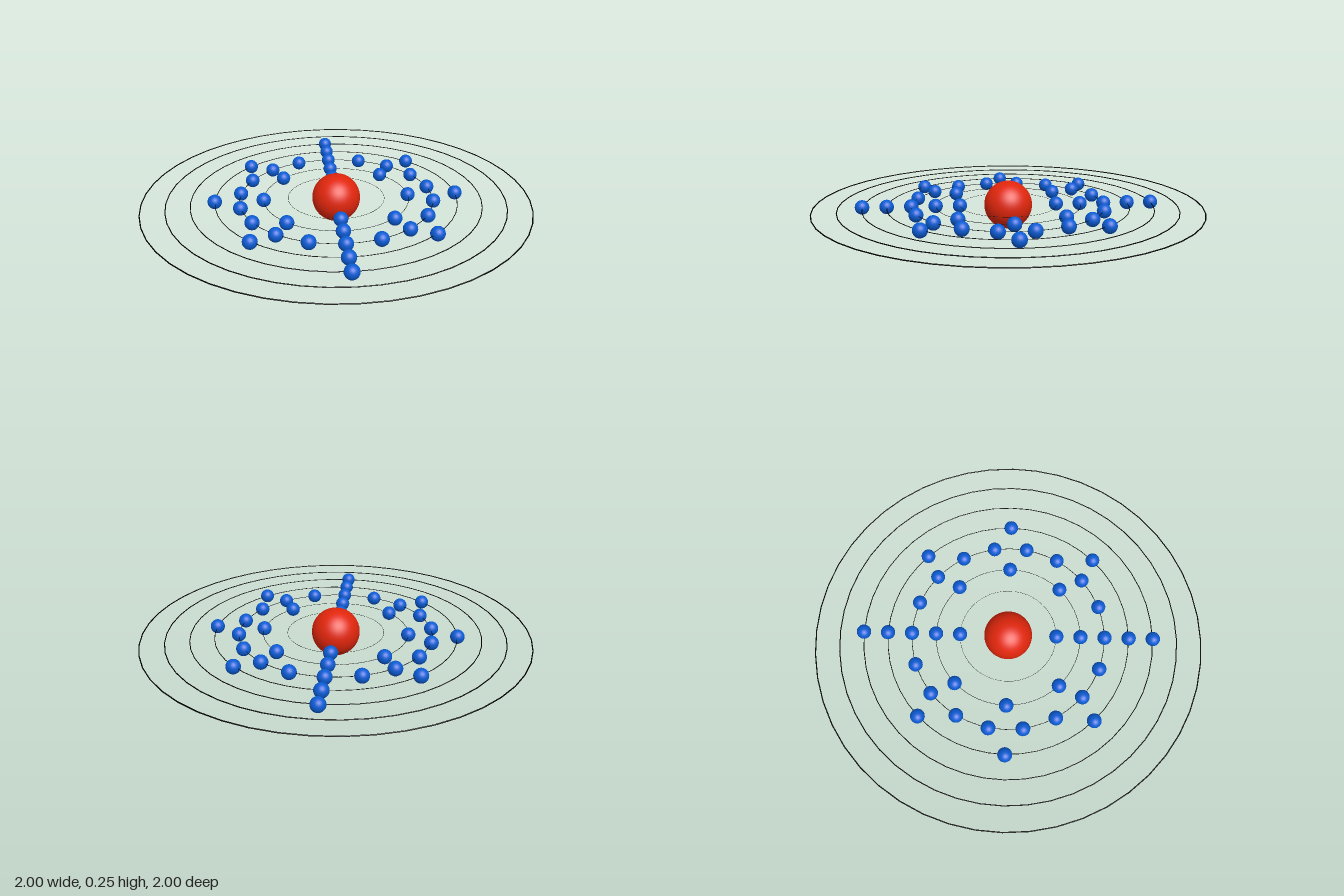
import * as THREE from 'three';

const CENTRE_Y = 0.126;
const NUCLEUS_RADIUS = 0.124;
const ELECTRON_RADIUS = 0.037;
// Electrons carried by each shell, from the innermost outwards
const SHELLS = [2, 8, 18, 8, 2, 0, 0];

export function createModel() {
  const group = new THREE.Group();
  group.name = 'atom';

  const red = new THREE.MeshStandardMaterial({ color: 0xe0260c });
  const blue = new THREE.MeshStandardMaterial({ color: 0x0b5bd3 });
  const black = new THREE.MeshStandardMaterial({ color: 0x000000 });

  const add = (parent, name, geometry, material) => {
    const mesh = new THREE.Mesh(geometry, material);
    mesh.name = name;
    parent.add(mesh);
    return mesh;
  };

  // Nucleus
  add(group, 'nucleus', new THREE.SphereGeometry(NUCLEUS_RADIUS, 48, 32), red).position.y = CENTRE_Y;

  const electronGeometry = new THREE.SphereGeometry(ELECTRON_RADIUS, 24, 16);

  // Flat, concentric shells: a thin orbit ring with evenly spaced electrons
  SHELLS.forEach((count, i) => {
    const radius = (i + 2) / 8;
    const shell = new THREE.Group();
    shell.name = `shell${i + 1}`;
    shell.position.y = CENTRE_Y;
    group.add(shell);

    const tube = 0.003 * radius;
    const ring = new THREE.TorusGeometry(radius - tube, tube, 8, 48).rotateX(Math.PI / 2);
    add(shell, 'orbitRing', ring, black);

    for (let k = 0; k < count; k++) {
      const angle = (k / count) * Math.PI * 2;
      add(shell, 'electron', electronGeometry, blue)
        .position.set(Math.sin(angle) * radius, 0, -Math.cos(angle) * radius);
    }
  });

  return group;
}
